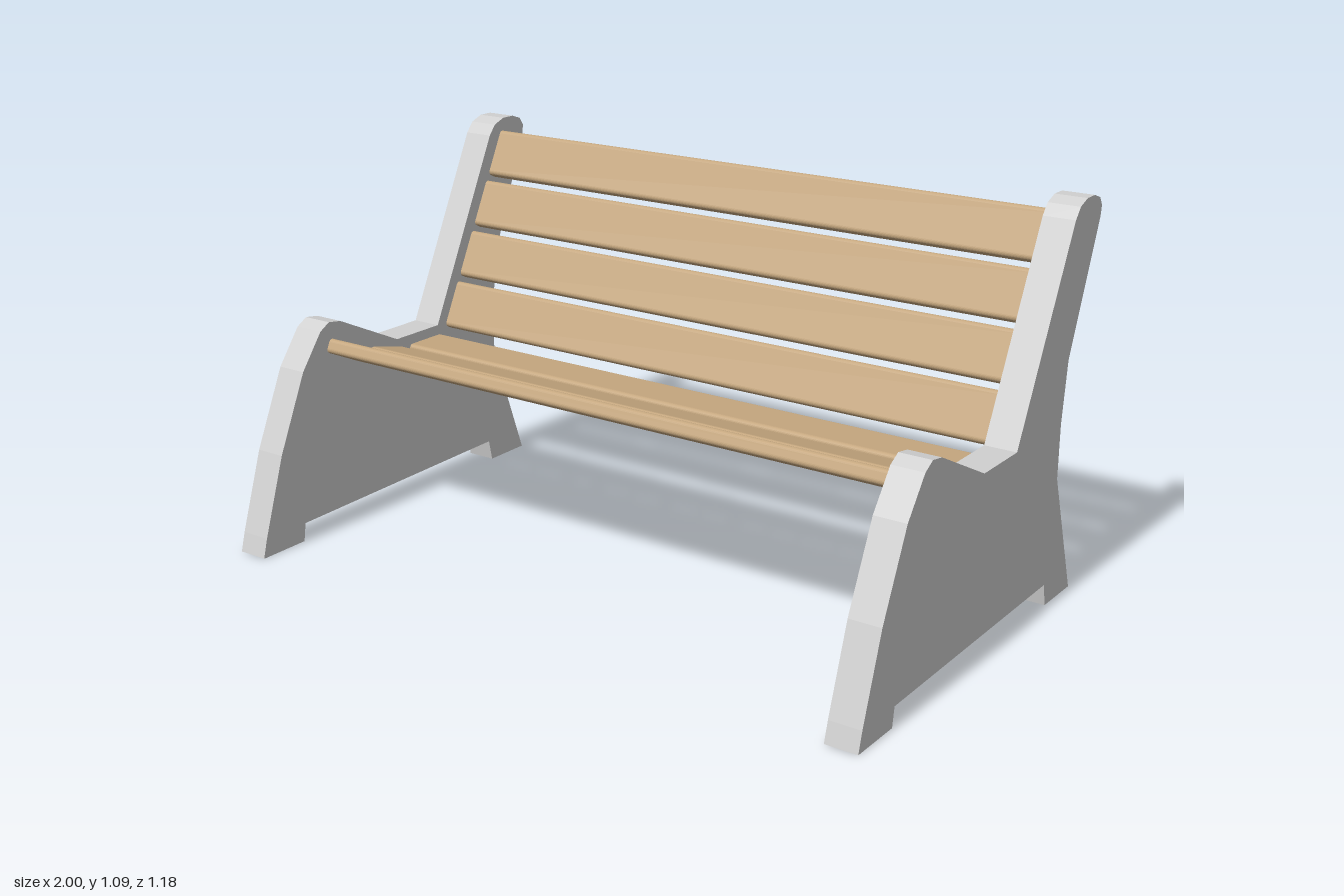
import * as THREE from 'three';

const END_THICKNESS = 0.09;
const SLAT_WIDTH = 0.142, SLAT_DEPTH = 0.042, SLAT_ROUND = 0.012;

// Extrudes a (z, y) outline along x, centred on x = 0
function extrudeAcross(shape, length, angle = 0) {
  const geo = new THREE.ExtrudeGeometry(shape, { depth: length, bevelEnabled: false, curveSegments: 3 });
  geo.translate(0, 0, -length / 2);
  geo.rotateZ(angle);
  geo.rotateY(-Math.PI / 2);
  return geo;
}

// Side profile of an end support, as [z, y]
const endProfile = [
  [0.59, 0], [0.575, 0.055], [0.5, 0.28], [0.4, 0.5], [0.325, 0.6], [0.29, 0.62], [0.245, 0.613],
  [0.015, 0.502], [-0.165, 0.502], [-0.43, 1.04], [-0.455, 1.07], [-0.495, 1.085], [-0.54, 1.085],
  [-0.575, 1.073], [-0.59, 1.05], [-0.585, 1.02], [-0.445, 0.67], [-0.425, 0.5], [-0.425, 0.35],
  [-0.55, 0], [-0.4, 0], [-0.387, 0.063], [0.425, 0.053], [0.433, 0],
];

// Rounded rectangle cross-section of a slat
function slatShape() {
  const a = SLAT_WIDTH / 2, b = SLAT_DEPTH / 2, r = SLAT_ROUND;
  const s = new THREE.Shape();
  s.absarc(a - r, b - r, r, 0, Math.PI / 2);
  s.absarc(-a + r, b - r, r, Math.PI / 2, Math.PI);
  s.absarc(-a + r, -b + r, r, Math.PI, Math.PI * 1.5);
  s.absarc(a - r, -b + r, r, Math.PI * 1.5, Math.PI * 2);
  s.closePath();
  return s;
}

export function createModel() {
  const bench = new THREE.Group();
  bench.name = 'bench';
  const concrete = new THREE.MeshStandardMaterial({ color: 0xd0d0d0 });
  concrete.name = 'concrete';
  const wood = new THREE.MeshStandardMaterial({ color: 0xc4a67e });
  wood.name = 'wood';

  // End supports
  const endShape = new THREE.Shape(endProfile.map(([z, y]) => new THREE.Vector2(z, y)));
  const endGeo = extrudeAcross(endShape, END_THICKNESS);
  for (const side of [-1, 1]) {
    const end = new THREE.Mesh(endGeo, concrete);
    end.name = side > 0 ? 'leftSupport' : 'rightSupport';
    end.position.x = side * (1 - END_THICKNESS / 2);
    bench.add(end);
  }

  const shape = slatShape();
  function addSlat(name, z, y, degrees) {
    const geo = extrudeAcross(shape, 1.84, THREE.MathUtils.degToRad(degrees));
    const slat = new THREE.Mesh(geo, wood);
    slat.name = name;
    slat.position.set(0, y, z);
    bench.add(slat);
  }

  // Seat slats, curving up toward the front
  addSlat('seatSlatFront', 0.232, 0.524, 25);
  addSlat('seatSlatMiddle', 0.06, 0.469, 14);
  addSlat('seatSlatRear', -0.11, 0.451, 0);

  // Leaning back slats, bottom to top
  for (let i = 0; i < 4; i++) {
    addSlat('backSlat' + (i + 1), -0.25 - i * 0.0735, 0.547 + i * 0.1435, 116.5);
  }
  return bench;
}
